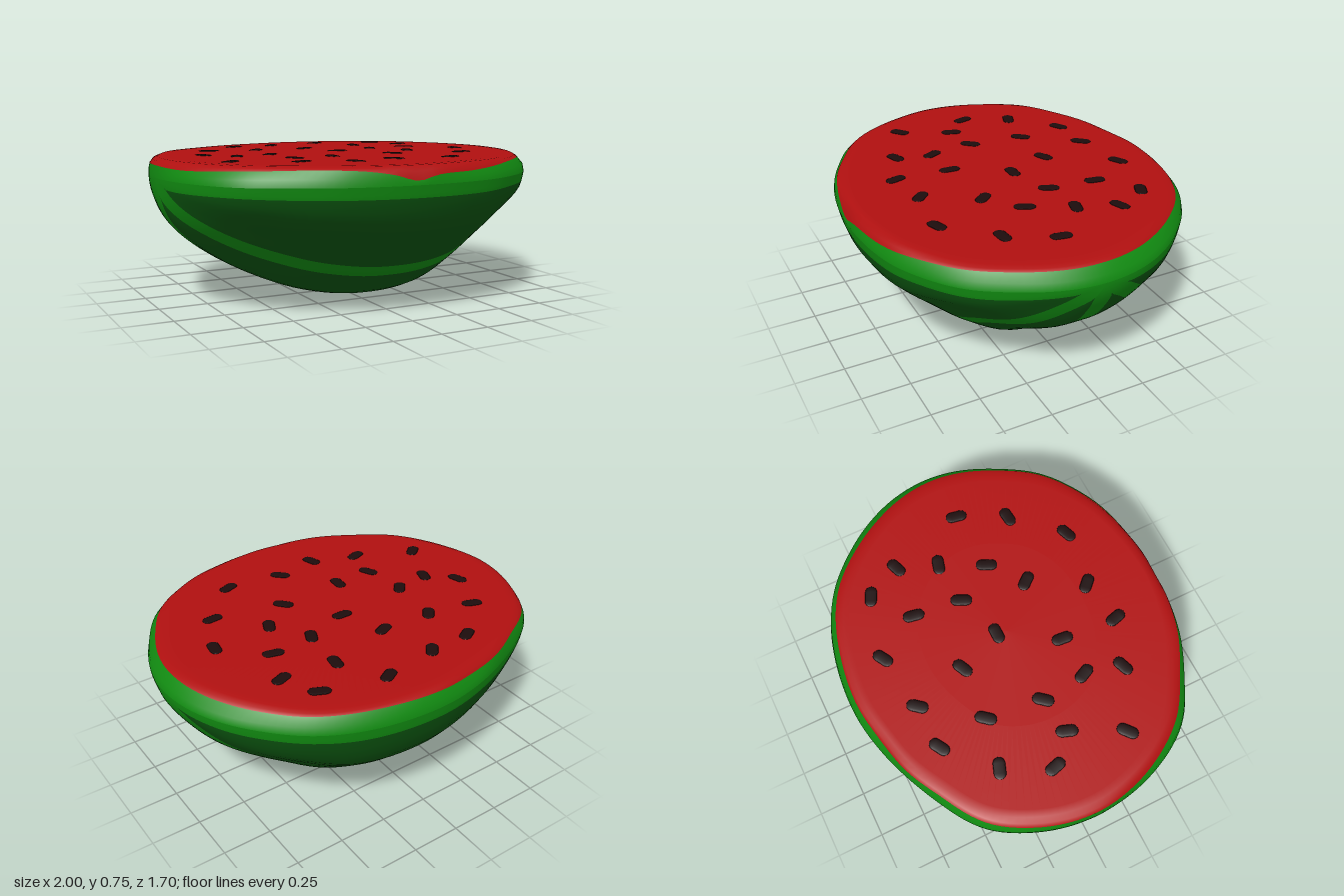
import * as THREE from 'three';

const AXIS = 0.65; // height of the long axis, which the stripes run along
const TOP = 0.74;
const STEPS = 72;

// Smooth curve through [key, value] pairs
function table(pairs) {
  const curve = new THREE.CubicInterpolant(pairs.map(p => p[0]), pairs.map(p => p[1]), 1, new Float32Array(1));
  return t => curve.evaluate(t)[0];
}
const alongX = pairs => table(pairs.map(([x, v]) => [Math.acos(-x), v]));

// Half-widths and depth along x, relative to the middle
const front = alongX([[-1, 0], [-0.95, 0.35], [-0.8, 0.66], [-0.6, 0.82], [-0.35, 0.945], [0, 1],
  [0.4, 0.94], [0.6, 0.83], [0.77, 0.67], [0.9, 0.43], [1, 0]]);
const back = alongX([[-1, 0], [-0.95, 0.34], [-0.83, 0.6], [-0.6, 0.79], [-0.25, 0.955], [0, 1],
  [0.35, 0.95], [0.6, 0.82], [0.8, 0.6], [0.95, 0.31], [1, 0]]);
const depth = alongX([[-1, 0], [-0.97, 0.24], [-0.8, 0.54], [-0.55, 0.77], [-0.3, 0.92], [0, 1],
  [0.36, 0.94], [0.6, 0.71], [0.82, 0.48], [0.94, 0.25], [1, 0]]);

// Middle cross-section, from the front rim under the belly to the back rim
const section = table([[0.845, 0], [0.8, 0.15], [0.7, 0.26], [0.6, 0.35], [0.4, 0.52], [0.2, 0.635], [0.03, 0.65],
  [-0.12, 0.645], [-0.4, 0.55], [-0.6, 0.41], [-0.75, 0.27], [-0.825, 0.12], [-0.85, 0]]
  .map(([z, d]) => [Math.atan2(d, z), Math.hypot(z, d)]));

function shellPoint(theta, phi) {
  const r = section(phi);
  const f = front(theta), b = back(theta);
  const side = Math.cos(phi) > 0 ? f : b;
  return [-Math.cos(theta), AXIS - r * Math.sin(phi) * depth(theta), r * Math.cos(phi) * side];
}

function build(positions, index) {
  const g = new THREE.BufferGeometry();
  g.setAttribute('position', new THREE.Float32BufferAttribute(positions, 3));
  g.setIndex(index);
  return g;
}

// Rind with stripes of even width that merge at both ends
function shellGeometry() {
  const positions = [], columnsMaterial = [];
  let columns = 0;
  for (let i = 0; i <= STEPS; i++) {
    const theta = Math.PI * i / STEPS;
    const size = Math.max(0.01, (front(theta) + back(theta)) / 2);
    const half = Math.min(0.072 / size, Math.PI / 8);
    const phis = [0];
    for (let k = 0; k < 9; k++) {
      const panel = k % 2;
      const c = Math.floor(k / 2) * Math.PI / 4;
      const from = panel ? c + half : Math.max(0, c - half);
      const to = panel ? c + Math.PI / 4 - half : Math.min(Math.PI, c + half);
      const parts = panel ? 8 : 3;
      for (let n = 1; n <= parts; n++) {
        phis.push(from + (to - from) * n / parts);
        if (i === 0) columnsMaterial.push(panel);
      }
    }
    columns = phis.length;
    phis.forEach(phi => positions.push(...shellPoint(theta, phi)));
  }
  const faces = [[], []];
  for (let i = 0; i < STEPS; i++) {
    for (let j = 0; j < columns - 1; j++) {
      const a = i * columns + j, c = a + columns;
      faces[columnsMaterial[j]].push(a, a + 1, c, a + 1, c + 1, c);
    }
  }
  const g = build(positions, [...faces[0], ...faces[1]]);
  g.addGroup(0, faces[0].length, 0);
  g.addGroup(faces[0].length, faces[1].length, 1);
  g.computeVertexNormals();
  return g;
}

// Outline of the rim, from +x by the front to -x and round the back
function outline() {
  const points = [];
  for (let i = 0; i < 2 * STEPS; i++) {
    const t = Math.PI * i / STEPS;
    const [x, , z] = i <= STEPS ? shellPoint(Math.PI - t, 0) : shellPoint(t - Math.PI, Math.PI);
    const angle = (Math.atan2(z, x) * 180 / Math.PI + 360) % 360;
    points.push({ x, z, angle });
  }
  return points;
}

// Closed band through rings given as [scale, height] rules of the angle
function ringsGeometry(points, rings, closeTop) {
  const positions = [], index = [], n = points.length;
  for (const ring of rings) {
    for (const p of points) {
      const [s, y] = ring(p.angle);
      positions.push(p.x * s, y, p.z * s);
    }
  }
  for (let k = 0; k < rings.length - 1; k++) {
    for (let i = 0; i < n; i++) {
      const a = k * n + i, b = k * n + (i + 1) % n;
      index.push(a, a + n, b, b, a + n, b + n);
    }
  }
  if (closeTop) {
    const last = (rings.length - 1) * n;
    positions.push(0, TOP, 0);
    for (let i = 0; i < n; i++) index.push(last + i, rings.length * n, last + (i + 1) % n);
  }
  const g = build(positions, index);
  g.computeVertexNormals();
  return g;
}

// Uneven line where rind meets flesh, by angle in degrees
const lipScale = table([[0, 0.95], [45, 0.965], [75, 0.985], [90, 0.995], [110, 0.98], [140, 0.957], [165, 0.98],
  [180, 0.995], [205, 0.985], [225, 0.975], [240, 0.983], [255, 0.966], [270, 0.965], [290, 0.957], [315, 0.958],
  [340, 0.945], [360, 0.95]]);
const lipHeight = table([[0, 0.725], [45, 0.722], [70, 0.7], [85, 0.692], [92, 0.67], [100, 0.7], [112, 0.722],
  [145, 0.718], [165, 0.705], [180, 0.71], [200, 0.705], [225, 0.722], [250, 0.712], [270, 0.72], [300, 0.728],
  [340, 0.72], [360, 0.725]]);

// Seeds: x, z and turn in degrees
const SEEDS = [
  [-0.39, -0.55, 30], [-0.16, -0.56, 50], [0.14, -0.61, 30], [0.47, -0.53, -25], [-0.61, -0.34, -20],
  [-0.36, -0.29, 50], [-0.08, -0.28, 25], [0.28, -0.38, 80], [0.56, -0.35, 20], [0.48, -0.15, -15],
  [0.25, -0.13, 65], [0.01, -0.05, 0], [-0.72, -0.1, -75], [-0.59, 0.03, 70], [-0.4, 0, 50],
  [0.37, 0.07, 65], [0.69, 0.05, 80], [-0.37, 0.24, -65], [-0.16, 0.23, 85], [0.2, 0.21, -50],
  [-0.72, 0.29, 40], [0.57, 0.29, 5], [-0.42, 0.43, 20], [-0.18, 0.52, -75], [0.05, 0.48, -45], [0.35, 0.52, 20],
];

export function createModel() {
  const material = (name, color) => Object.assign(new THREE.MeshStandardMaterial({ color }), { name });
  const lightGreen = material('light green rind', 0x118a11);
  const darkGreen = material('dark green rind', 0x0b520f);
  const red = material('red flesh', 0xb01010);
  const black = material('dark seed', 0x1c0c0c);

  const model = new THREE.Group();
  model.name = 'halfWatermelon';
  const add = (name, geometry, mat, parent = model) => {
    const mesh = new THREE.Mesh(geometry, mat);
    mesh.name = name;
    parent.add(mesh);
    return mesh;
  };

  add('rind', shellGeometry(), [lightGreen, darkGreen]);

  // Rim and flesh share the uneven lip
  const points = outline();
  const lip = a => [lipScale(a), lipHeight(a)];
  add('rim', ringsGeometry(points, [
    () => [1, AXIS],
    a => [1 - (1 - lipScale(a)) * 0.2, AXIS + (lipHeight(a) - AXIS) * 0.5],
    lip,
  ]), lightGreen);
  add('flesh', ringsGeometry(points, [
    lip,
    a => [lipScale(a) * 0.985, lipHeight(a) * 0.4 + TOP * 0.6],
    a => [lipScale(a) * 0.955, TOP - 0.002],
    a => [lipScale(a) * 0.92, TOP],
    () => [0.5, TOP],
  ], true), red);

  // Flattened seeds lying in the cut face
  const seeds = new THREE.Group();
  seeds.name = 'seeds';
  model.add(seeds);
  const seedGeometry = new THREE.CapsuleGeometry(0.03, 0.05, 4, 12).rotateZ(Math.PI / 2).scale(1, 0.14, 1);
  for (const [x, z, turn] of SEEDS) {
    const seed = add('seed', seedGeometry, black, seeds);
    seed.position.set(x, TOP, z);
    seed.rotation.y = turn * Math.PI / 180;
  }
  return model;
}
